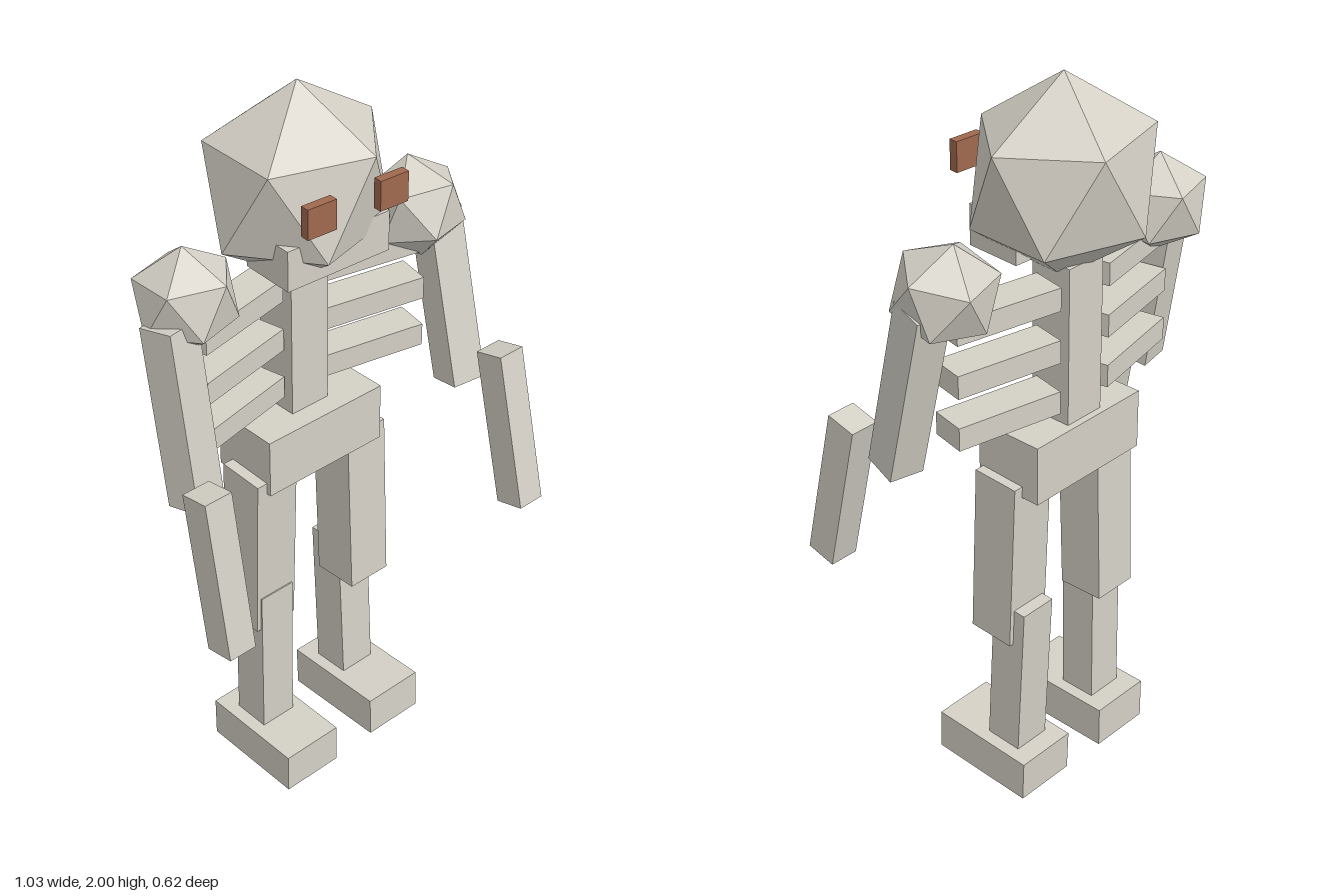
import * as THREE from 'three';

export function createModel() {
  const model = new THREE.Group();
  const bone = new THREE.MeshStandardMaterial({ color: 0xd4d0c6 });
  bone.name = 'bone';
  const rust = new THREE.MeshStandardMaterial({ color: 0xa0694e });
  rust.name = 'rust brown';
  const rad = THREE.MathUtils.degToRad;

  const add = (name, geometry, position, pitch, yaw, material) => {
    const mesh = new THREE.Mesh(geometry, material);
    mesh.name = name;
    mesh.position.set(...position);
    mesh.rotation.set(rad(pitch), rad(yaw), 0);
    model.add(mesh);
    return mesh;
  };
  const box = (name, size, position, pitch = 0, yaw = 0, material = bone) =>
    add(name, new THREE.BoxGeometry(...size), position, pitch, yaw, material);

  // Faceted ball standing on a corner, slightly squashed
  const ball = (name, radii, position, pitch = 0) => {
    const g = new THREE.IcosahedronGeometry(1, 0);
    g.rotateZ(-Math.atan(2 / (1 + Math.sqrt(5))));
    g.rotateY(rad(-2.4));
    g.scale(...radii);
    g.computeVertexNormals();
    return add(name, g, position, pitch, 0, bone);
  };

  // Head
  ball('skull', [0.263, 0.264, 0.239], [0.003, 1.737, -0.105]);
  box('jaw', [0.315, 0.11, 0.16], [0, 1.61, -0.028], 0, -3);
  box('rightEye', [0.085, 0.08, 0.025], [-0.117, 1.765, 0.104], 0, -4, rust);
  box('leftEye', [0.085, 0.08, 0.025], [0.1, 1.765, 0.118], 0, -4, rust);

  // Torso
  box('spine', [0.122, 0.44, 0.12], [0, 1.315, -0.12]);
  box('pelvis', [0.385, 0.165, 0.198], [0.002, 1.02, -0.1]);
  for (const side of [-1, 1]) {
    for (const y of [1.466, 1.323, 1.18]) {
      box('rib', [0.3, 0.063, 0.1], [side * 0.226, y, -0.1], 0, side * -11.5);
    }
  }

  // Arms, the left one swung further forward
  const arms = [
    { side: -1, name: 'right', ball: [-0.352, 1.553, -0.106], ballPitch: -3,
      upper: [-0.43, 1.287, -0.037], upperPitch: -9, fore: [-0.478, 0.934, 0.14], forePitch: -9.5 },
    { side: 1, name: 'left', ball: [0.364, 1.55, -0.064], ballPitch: -13,
      upper: [0.427, 1.293, 0.003], upperPitch: -13.5, fore: [0.474, 0.952, 0.209], forePitch: -13.7 },
  ];
  for (const a of arms) {
    ball(a.name + 'Shoulder', [0.14, 0.137, 0.136], a.ball, a.ballPitch);
    box(a.name + 'UpperArm', [0.097, 0.487, 0.098], a.upper, a.upperPitch, a.side * -10);
    box(a.name + 'Forearm', [0.082, 0.447, 0.087], a.fore, a.forePitch);
  }

  // Legs in a slight stride
  const legs = [
    { side: -1, name: 'right', thighZ: -0.09, thighPitch: 2, shinZ: -0.08, shinPitch: 0.5, footY: 0.063, footPitch: 0 },
    { side: 1, name: 'left', thighZ: -0.07, thighPitch: -2.5, shinZ: -0.1, shinPitch: -3, footY: 0.071, footPitch: -2 },
  ];
  for (const l of legs) {
    box(l.name + 'Thigh', [0.132, 0.495, 0.135], [l.side * 0.156, 0.726, l.thighZ], l.thighPitch);
    box(l.name + 'Shin', [0.108, 0.48, 0.108], [l.side * 0.155, 0.347, l.shinZ], l.shinPitch);
    box(l.name + 'Foot', [0.18, 0.12, 0.312], [l.side * 0.156, l.footY, -0.04], l.footPitch);
  }

  return model;
}
